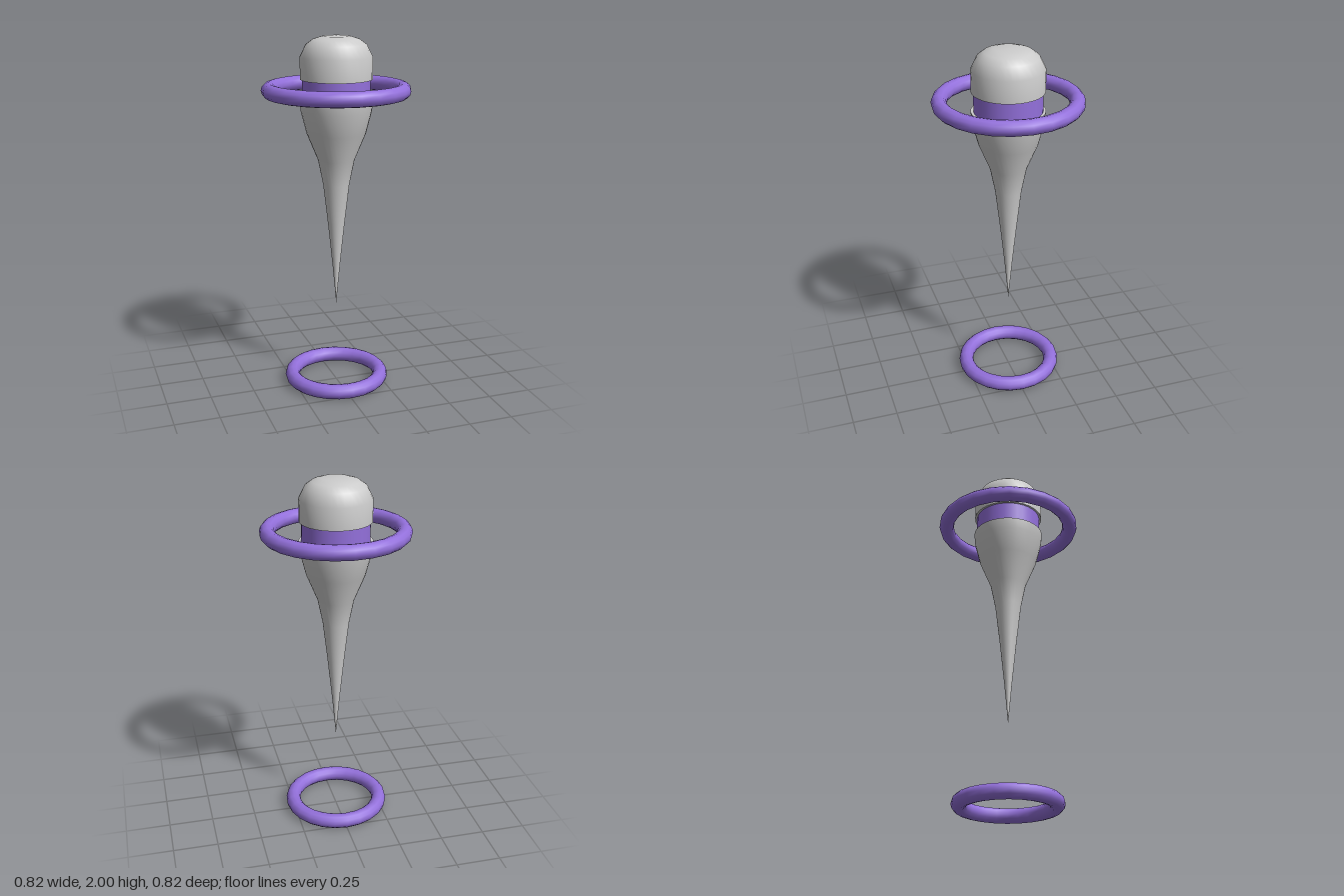
import * as THREE from 'three';

export function createModel() {
  const model = new THREE.Group();
  const grey = new THREE.MeshStandardMaterial({ color: 0xcccccc, side: THREE.DoubleSide });
  const purple = new THREE.MeshStandardMaterial({ color: 0x9370db });

  const add = (name, geometry, material, y = 0) => {
    const mesh = new THREE.Mesh(geometry, material);
    mesh.name = name;
    mesh.position.y = y;
    model.add(mesh);
    return mesh;
  };
  const lathe = (points) =>
    new THREE.LatheGeometry(points.map(([r, y]) => new THREE.Vector2(r, y)), 32);

  // Flat horizontal disc, facing up or down
  const disc = (name, radius, y, up) => {
    add(name, new THREE.CircleGeometry(radius, 32), grey, y).rotation.x = up ? -Math.PI / 2 : Math.PI / 2;
  };

  // Spike tapering to a point, with a flat shelf on top
  add('spikeBody', lathe([
    [0, 0.48], [0.022, 0.72], [0.047, 0.96], [0.073, 1.185], [0.101, 1.325],
    [0.163, 1.475], [0.195, 1.6], [0.2, 1.66],
  ]), grey);
  disc('spikeShelf', 0.2, 1.66, true);

  // Coloured neck between spike and head
  add('neckBand', new THREE.CylinderGeometry(0.185, 0.185, 0.11, 32, 1, true), purple, 1.715);

  // Rounded head
  add('headDome', lathe([
    [0.197, 1.77], [0.197, 1.89], [0.165, 1.955], [0.127, 1.983], [0.075, 1.999], [0, 2],
  ]), grey);
  disc('headUnderside', 0.197, 1.77, false);

  // Floating rings: one around the neck, one on the ground
  for (const [name, radius, y] of [['neckRing', 0.366, 1.712], ['groundRing', 0.257, 0.042]]) {
    add(name, new THREE.TorusGeometry(radius, 0.042, 12, 24), purple, y).rotation.x = Math.PI / 2;
  }

  return model;
}
